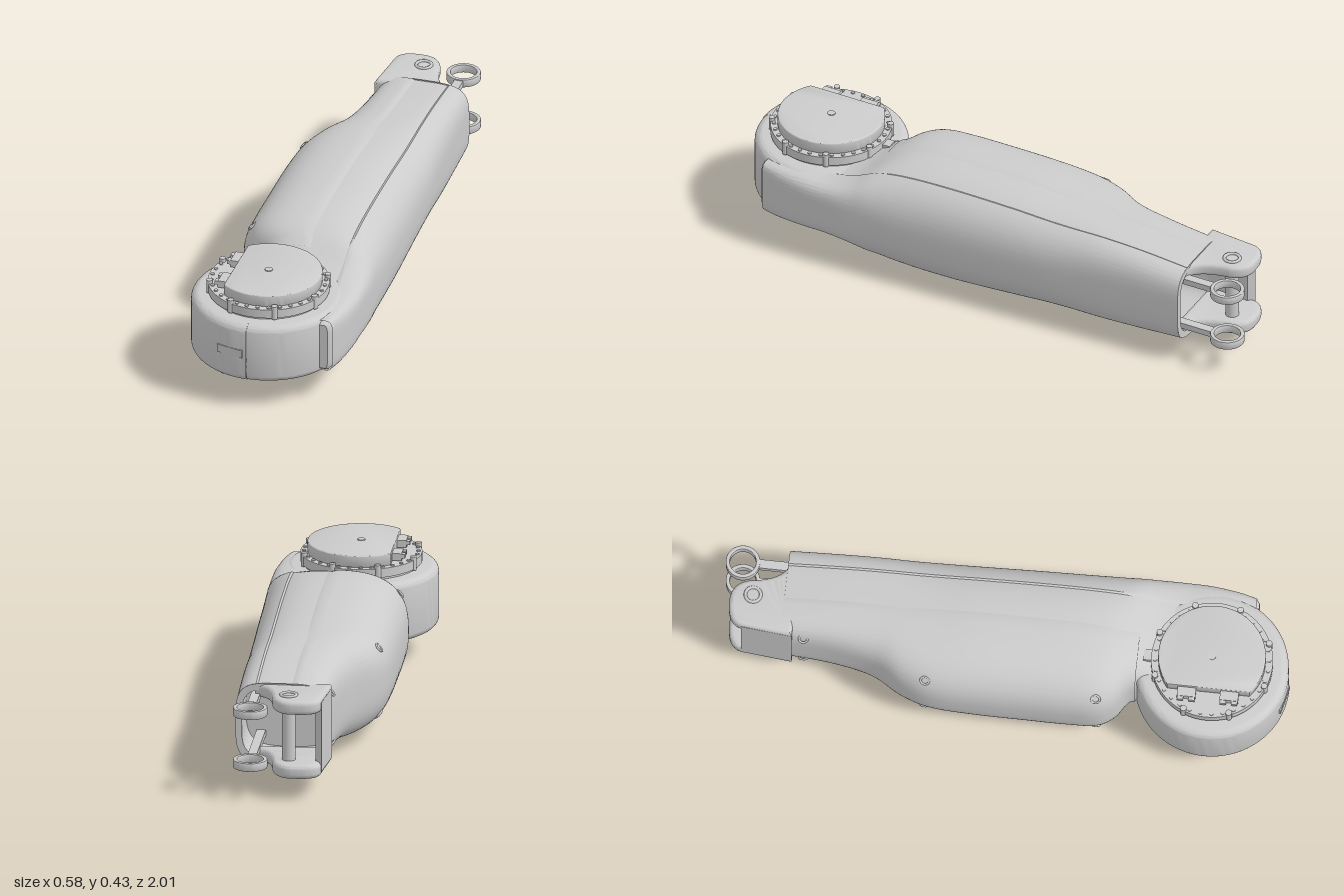
import * as THREE from 'three';
import { toCreasedNormals } from 'three/addons/utils/BufferGeometryUtils.js';

const material = new THREE.MeshStandardMaterial({ color: 0xcccccc, side: THREE.DoubleSide });

// Body sections along z: z, xMin, xMax, yMin, yMax, squareness
const SECTIONS = [
  [-0.78, -0.08, 0.25, 0.075, 0.37, 4],
  [-0.6, -0.095, 0.255, 0.06, 0.39, 3.6],
  [-0.45, -0.13, 0.26, 0.047, 0.402, 3.2],
  [-0.35, -0.19, 0.263, 0.036, 0.41, 2.9],
  [-0.25, -0.225, 0.267, 0.026, 0.418, 2.7],
  [-0.1, -0.235, 0.271, 0.012, 0.43, 2.6],
  [0.1, -0.235, 0.277, 0.003, 0.435, 2.6],
  [0.25, -0.235, 0.281, 0.005, 0.433, 2.6],
  [0.35, -0.228, 0.284, 0.018, 0.422, 2.7],
  [0.41, -0.19, 0.285, 0.037, 0.405, 2.9],
  [0.45, -0.13, 0.286, 0.054, 0.387, 3.2],
  [0.52, -0.12, 0.288, 0.085, 0.352, 4],
  [0.6, -0.08, 0.288, 0.108, 0.332, 5],
  [0.7, 0.02, 0.285, 0.113, 0.328, 5],
  [0.8, 0.12, 0.27, 0.116, 0.324, 5],
  [0.87, 0.18, 0.25, 0.122, 0.318, 5],
];

// Smooth interpolation of the section table
function sectionAt(z) {
  const S = SECTIONS, last = S.length - 1;
  let i = 0;
  while (i < last - 1 && z > S[i + 1][0]) i++;
  const p = S[i], q = S[i + 1], h = q[0] - p[0];
  const t = THREE.MathUtils.clamp((z - p[0]) / h, 0, 1);
  const slope = (k, c) => {
    const a = S[Math.max(k - 1, 0)], b = S[Math.min(k + 1, last)];
    return (b[c] - a[c]) / (b[0] - a[0]);
  };
  const t2 = t * t, t3 = t2 * t;
  const v = [1, 2, 3, 4, 5].map((c) => p[c] * (2 * t3 - 3 * t2 + 1) + q[c] * (3 * t2 - 2 * t3)
    + h * (slope(i, c) * (t3 - 2 * t2 + t) + slope(i + 1, c) * (t3 - t2)));
  return { cx: (v[0] + v[1]) / 2, a: (v[1] - v[0]) / 2, cy: (v[2] + v[3]) / 2, b: (v[3] - v[2]) / 2, n: v[4] };
}

function surfacePoint(z, theta, inset = 0) {
  const s = sectionAt(z);
  const pow = (v) => Math.sign(v) * Math.abs(v) ** (2 / s.n);
  return [s.cx + Math.max(s.a - inset, 0) * pow(Math.cos(theta)),
    s.cy + Math.max(s.b - inset, 0) * pow(Math.sin(theta)), z];
}

// Angle at which a section reaches a given x
function angleAt(z, x) {
  const s = sectionAt(z), u = THREE.MathUtils.clamp((x - s.cx) / s.a, -1, 1);
  return Math.acos(Math.sign(u) * Math.abs(u) ** (s.n / 2));
}

// Skin through rings of [z, inset]; range(z) gives the covered angles
function loft(rings, range, lip = 0, cols = 64) {
  const pos = [], idx = [];
  rings.forEach(([z, inset], i) => {
    const [t0, t1] = range(z);
    for (let j = 0; j <= cols; j++) {
      const edge = j === 0 || j === cols ? lip : 0;
      pos.push(...surfacePoint(z, t0 + (t1 - t0) * j / cols, inset + edge));
      if (i && j) {
        const d = i * (cols + 1) + j, c = d - 1, b = d - cols - 1, a = b - 1;
        idx.push(a, b, c, b, d, c);
      }
    }
  });
  const g = new THREE.BufferGeometry();
  g.setAttribute('position', new THREE.Float32BufferAttribute(pos, 3));
  g.setIndex(idx);
  return toCreasedNormals(g, 0.7);
}
const span = (z0, z1, inset, n = 70) =>
  Array.from({ length: n + 1 }, (_, i) => [z0 + (z1 - z0) * i / n, inset]);

// Plate drawn in x/z and extruded down from yTop
function plate(shape, yTop, height, bevel = 0) {
  const g = new THREE.ExtrudeGeometry(shape, {
    depth: height - 2 * bevel, curveSegments: 40, bevelEnabled: bevel > 0,
    bevelSize: bevel, bevelThickness: bevel, bevelOffset: -bevel, bevelSegments: 4,
  });
  return toCreasedNormals(g.rotateX(Math.PI / 2).translate(0, yTop - bevel, 0), 0.6);
}

export function createModel() {
  const root = new THREE.Group();
  const add = (name, geometry, x = 0, y = 0, z = 0, parent = root) => {
    const m = new THREE.Mesh(geometry, material);
    m.name = name;
    m.position.set(x, y, z);
    parent.add(m);
    return m;
  };
  const cyl = (r, h, n = 32, r2 = r) => new THREE.CylinderGeometry(r, r2, h, n);
  const box = (w, h, d) => new THREE.BoxGeometry(w, h, d);
  const group = (name, x = 0, y = 0, z = 0) => {
    const g = new THREE.Group();
    g.name = name;
    g.position.set(x, y, z);
    root.add(g);
    return g;
  };

  // Limb body: recessed core, raised main shell and side cover
  const full = () => [0, 2 * Math.PI];
  add('bodyCore', loft([...span(-0.78, 0.86, 0.005), [0.87, 0.012], [0.87, 0.3]], full));
  add('mainShell', loft(span(-0.78, 0.47, 0), (z) => {
    const t = angleAt(z, 0.055);
    return [t, 2 * Math.PI - t];
  }, 0.007));
  add('sideCover', loft(span(-0.78, 0.86, 0), (z) => {
    const t = angleAt(z, 0.18 + 0.01 * z);
    return [-t, t];
  }, 0.007));
  add('endOpening', loft([[-0.6, 0.3], [-0.6, 0.022], [-0.78, 0.022], [-0.78, 0]], full));

  // Screw recesses on the outer side
  for (const [z, x] of [[-0.26, -0.195], [0.34, -0.2], [-0.7, -0.078]])
    for (const side of [1, -1]) {
      const [px, py] = surfacePoint(z, side * angleAt(z, x));
      const ring = add('screwSeat', new THREE.TorusGeometry(0.015, 0.004, 8, 20), px, py, z);
      ring.lookAt(px - 1, py + side * 0.9, z);
    }

  // Rear fork with wall and pin
  const fork = new THREE.Shape();
  fork.moveTo(-0.085, -0.74);
  fork.lineTo(-0.068, -0.91);
  fork.quadraticCurveTo(-0.065, -0.97, 0.02, -0.97);
  fork.quadraticCurveTo(0.085, -0.975, 0.105, -0.91);
  fork.quadraticCurveTo(0.12, -0.79, 0.18, -0.775);
  fork.lineTo(0.18, -0.74);
  add('forkTop', plate(fork, 0.365, 0.05, 0.016));
  add('forkBottom', plate(fork, 0.13, 0.05, 0.016));
  const wall = new THREE.Shape([[-0.085, -0.74], [-0.068, -0.92], [-0.045, -0.9], [-0.058, -0.74]]
    .map(([x, z]) => new THREE.Vector2(x, z)));
  add('forkWall', plate(wall, 0.35, 0.255));
  add('forkPin', cyl(0.024, 0.25), 0.05, 0.222, -0.89);
  for (const y of [0.366, 0.079])
    add('pinCollar', new THREE.TorusGeometry(0.027, 0.006, 8, 28).rotateX(Math.PI / 2), 0.05, y, -0.89);

  // Two push rods with ring ends
  const eye = new THREE.Shape().absarc(0, 0, 0.06, 0, Math.PI * 2);
  eye.holes.push(new THREE.Path().absarc(0, 0, 0.046, 0, Math.PI * 2, true));
  for (const y of [0.318, 0.128]) {
    const rod = group('pushRod', 0.18, y, -0.94);
    add('rodEye', plate(eye, 0.015, 0.03, 0.002), 0, 0, 0, rod);
    add('rodBar', box(0.032, 0.022, 0.3), 0, 0, 0.205, rod);
  }

  // Round joint housing; its two halves differ slightly in radius
  const housing = (r, start) => {
    const pts = [new THREE.Vector2(0, 0.112), new THREE.Vector2(0.235, 0.112), new THREE.Vector2(0.235, 0.108)];
    const c = 0.03;
    for (const [cy, a0] of [[0.108 + c, -Math.PI / 2], [0.33 - c, 0]])
      for (let i = 0; i <= 8; i++) {
        const a = a0 + i * Math.PI / 16;
        pts.push(new THREE.Vector2(r - c + c * Math.cos(a), cy + c * Math.sin(a)));
      }
    pts.push(new THREE.Vector2(0, 0.33));
    return toCreasedNormals(new THREE.LatheGeometry(pts, 48, start, Math.PI), 0.6);
  };
  const joint = group('joint', -0.02, 0, 0.73);
  add('housingInner', housing(0.268, 0), 0, 0, 0, joint);
  add('housingOuter', housing(0.271, Math.PI), 0, 0, 0, joint);
  const slot = add('housingSlot', box(0.1, 0.03, 0.01), -0.062, 0.22, 0.26, joint);
  slot.rotation.y = -0.23;

  // Motor on top: neck, flange, trimmed cap, bolts and sockets
  add('motorNeck', cyl(0.203, 0.02, 64), 0, 0.338, 0, joint);
  add('motorFlange', cyl(0.213, 0.033, 72), 0, 0.356, 0, joint);
  const cut = Math.acos(-0.12 / 0.188);
  const cap = new THREE.Shape().absarc(0, 0, 0.188, -cut, cut);
  cap.closePath();
  add('motorCap', plate(cap, 0.414, 0.045, 0.004), 0, 0, 0, joint);
  add('capScrew', cyl(0.014, 0.006, 20), 0, 0.414, 0, joint);
  for (let i = 0; i < 32; i++) {
    const a = (i + 0.5) * Math.PI / 16;
    add('flangeScrew', cyl(0.007, 0.006, 10), 0.2 * Math.cos(a), 0.374, 0.2 * Math.sin(a), joint);
  }
  for (let i = 0; i < 8; i++) {
    const a = (i + 0.5) * Math.PI / 4;
    add('flangeBolt', cyl(0.011, 0.05, 16), 0.208 * Math.cos(a), 0.361, 0.208 * Math.sin(a), joint);
  }
  for (const z of [-0.075, 0.075]) {
    add('cableSocket', box(0.035, 0.026, 0.065), -0.136, 0.389, z, joint);
    for (const dz of [-0.02, 0.02])
      add('socketPlug', box(0.015, 0.014, 0.022), -0.158, 0.392, z + dz, joint);
  }
  add('locatingTab', box(0.04, 0.04, 0.03), 0, 0.342, -0.225, joint);

  // Output face underneath: rings, round pads and edge block
  for (const [r, w] of [[0.222, 0.006], [0.14, 0.005], [0.05, 0.004]])
    add('outputRing', new THREE.TorusGeometry(r, w, 8, 64).rotateX(Math.PI / 2), 0, 0.111, 0, joint);
  add('outputDisc', cyl(0.132, 0.014, 64), 0, 0.107, 0, joint);
  add('outputCentre', cyl(0.035, 0.03, 32), 0, 0.102, 0, joint);
  for (let i = 0; i < 6; i++) {
    const a = i * Math.PI / 3;
    add('outputPad', cyl(0.028, 0.026, 6), 0.09 * Math.cos(a), 0.101, 0.09 * Math.sin(a), joint);
  }
  for (let i = 0; i < 12; i++) {
    const a = (i + 0.5) * Math.PI / 6;
    add('outputScrew', cyl(0.01, 0.014, 14), 0.185 * Math.cos(a), 0.108, 0.185 * Math.sin(a), joint);
  }
  add('edgeBlock', box(0.085, 0.028, 0.05), -0.072, 0.099, 0.17, joint);

  return root;
}
